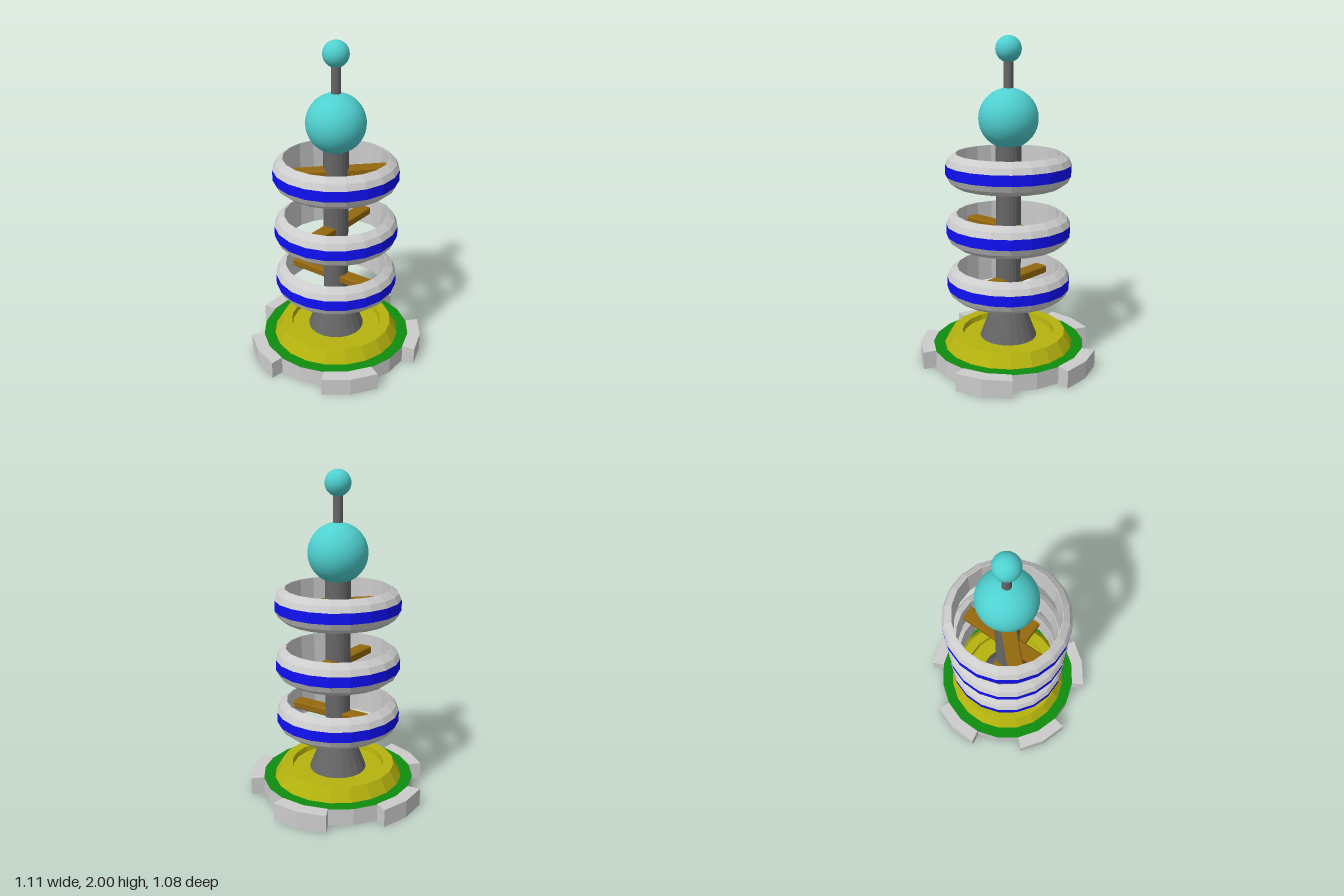
import * as THREE from 'three';

const SIDES = 20;

function material(color, flat = true) {
  return new THREE.MeshStandardMaterial({ color, flatShading: flat });
}
const grey = material(0xcccccc);
const dark = material(0x666666);
const yellow = material(0xb5b30e);
const green = material(0x0f8c0f);
const blue = material(0x1010f5);
const brown = material(0x94690f);
const teal = material(0x4fd0d0, false);

function part(name, geometry, mat, y = 0) {
  const mesh = new THREE.Mesh(geometry, mat);
  mesh.name = name;
  mesh.position.y = y;
  return mesh;
}

// Turned part from [radius, height] pairs
function turned(points) {
  return new THREE.LatheGeometry(points.map(([r, y]) => new THREE.Vector2(r, y)), SIDES);
}

// Round base with five teeth around the rim
function makeBase() {
  const base = new THREE.Group();
  base.name = 'base';
  const R = 0.4735, outer = 0.554, step = Math.PI / 10;
  base.add(part('baseBody', turned([[0, 0], [R, 0], [R, 0.105]]), grey));
  const plate = new THREE.CircleGeometry(R, SIDES).rotateX(-Math.PI / 2);
  base.add(part('basePlate', plate, green, 0.105));

  // Tooth outline: two facets wide, drawn facing -y so it turns to +z
  const at = (r, k) => new THREE.Vector2(Math.sin(k * step) * r, -Math.cos(k * step) * r);
  const outline = new THREE.Shape([
    at(R, -1), at(outer, -1), at(outer, 0), at(outer, 1), at(R, 1), at(R, 0),
  ]);
  const tooth = new THREE.ExtrudeGeometry(outline, { depth: 0.11, bevelEnabled: false });
  tooth.rotateX(-Math.PI / 2);
  for (let i = 0; i < 5; i++) {
    const mesh = part('tooth', tooth, grey);
    mesh.rotation.y = (i * Math.PI * 2) / 5;
    base.add(mesh);
  }
  return base;
}

// Hollow ring with a coloured band and one spoke bar through the column
function makeRing(y, angle) {
  const ring = new THREE.Group();
  ring.name = 'ring';
  ring.position.y = y;
  const shell = [[0.38, 0.032], [0.362, 0.068], [0.322, 0.098], [0.318, 0.098], [0.318, -0.098],
    [0.322, -0.098], [0.362, -0.068], [0.38, -0.032]];
  ring.add(part('ringShell', turned(shell), grey));
  ring.add(part('ringBand', turned([[0.38, -0.032], [0.38, 0.032]]), blue));

  // Chamfered bar section, extruded along the diameter
  const w = 0.045, h = 0.025, c = 0.007, length = 0.635;
  const section = new THREE.Shape([
    [-w, -h + c], [-w + c, -h], [w - c, -h], [w, -h + c],
    [w, h - c], [w - c, h], [-w + c, h], [-w, h - c],
  ].map(([a, b]) => new THREE.Vector2(a, b)));
  const bar = new THREE.ExtrudeGeometry(section, { depth: length, bevelEnabled: false });
  bar.translate(0, 0, -length / 2).rotateY(Math.PI / 2);
  const spoke = part('spoke', bar, brown);
  spoke.rotation.y = angle;
  ring.add(spoke);
  return ring;
}

export function createModel() {
  const model = new THREE.Group();
  model.name = 'ringTower';
  model.position.z = -0.0125;

  model.add(makeBase());

  // Raised dish with sloping outside and sunken floor
  model.add(part('dish', turned([[0.402, 0.105], [0.355, 0.185], [0.29, 0.185], [0.285, 0.15], [0, 0.15]]), yellow));

  // Central column on a conical foot
  model.add(part('columnFoot', turned([[0.178, 0.15], [0.098, 0.363], [0, 0.363]]), dark));
  model.add(part('column', new THREE.CylinderGeometry(0.077, 0.077, 1.08, SIDES), dark, 0.88));

  // Three rings, each with its spoke turned differently
  const rings = [[0.514, -Math.PI / 4], [0.851, Math.PI / 4], [1.219, 0]];
  for (const [y, angle] of rings) model.add(makeRing(y, angle));

  // Globes and the rod between them
  model.add(part('largeGlobe', new THREE.SphereGeometry(0.179, 40, 28), teal, 1.522));
  model.add(part('rod', new THREE.CylinderGeometry(0.028, 0.028, 0.2, SIDES), dark, 1.77));
  model.add(part('smallGlobe', new THREE.SphereGeometry(0.077, 32, 20), teal, 1.923));

  const root = new THREE.Group();
  root.name = 'model';
  root.add(model);
  return root;
}
